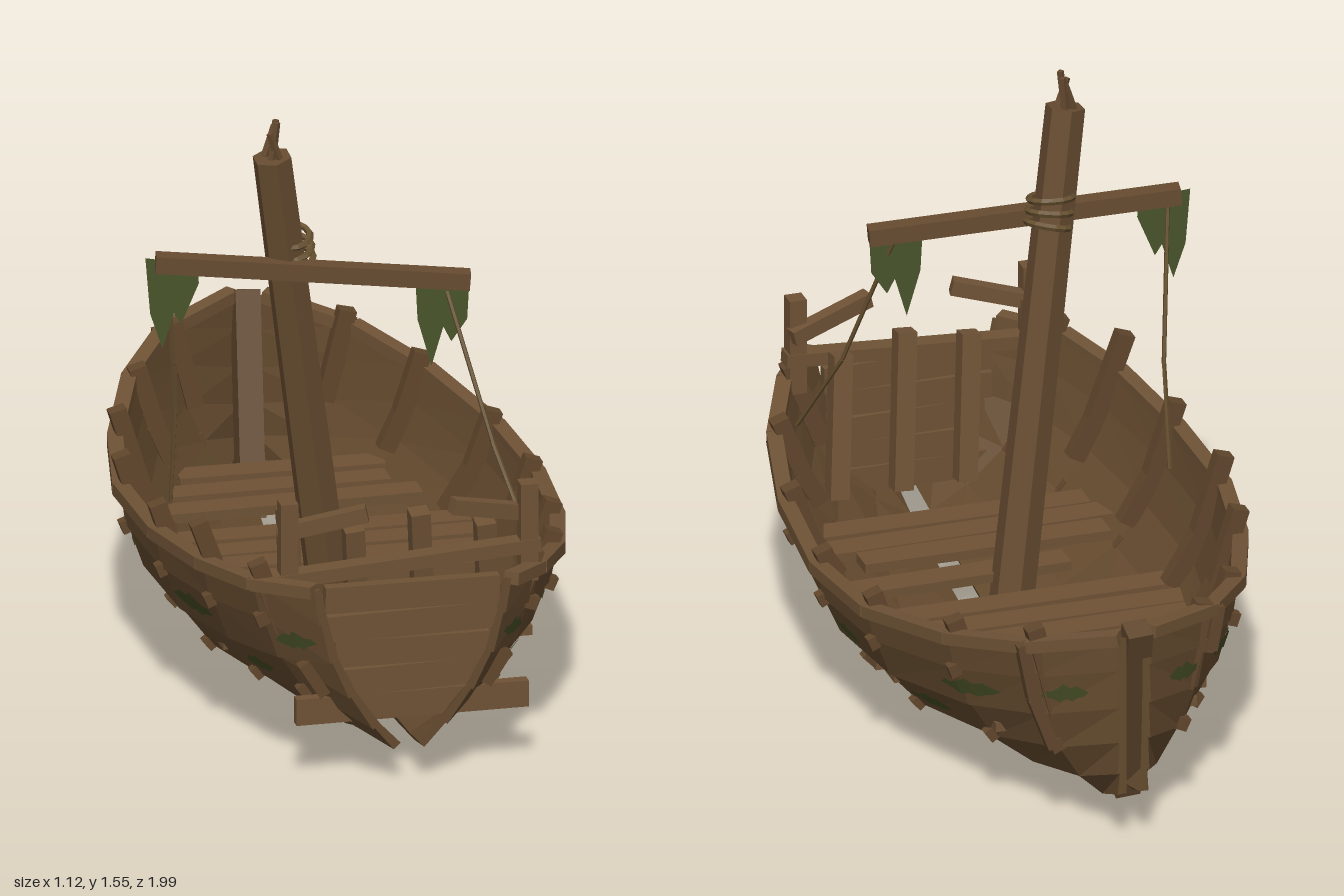
import * as THREE from 'three';

const V = (x, y, z) => new THREE.Vector3(x, y, z);
const mat = (name, color, side = THREE.FrontSide) => {
  const m = new THREE.MeshStandardMaterial({ color, side, flatShading: true });
  m.name = name;
  return m;
};

// Hull stations: z, left half-breadth, right half-breadth, left gunwale y, right gunwale y, keel y
const STATIONS = [
  [0.98, 0.27, 0.24, 0.54, 0.53, 0.10], [0.86, 0.40, 0.34, 0.53, 0.51, 0.075],
  [0.64, 0.48, 0.44, 0.51, 0.47, 0.045], [0.34, 0.53, 0.51, 0.485, 0.43, 0.015],
  [0, 0.54, 0.54, 0.475, 0.415, 0.005], [-0.31, 0.48, 0.51, 0.485, 0.43, 0.015],
  [-0.62, 0.37, 0.40, 0.52, 0.48, 0.045], [-0.83, 0.23, 0.26, 0.56, 0.53, 0.09],
  [-0.965, 0.02, 0.06, 0.59, 0.58, 0.145],
];
const XF_MID = [0, 0.4, 0.7, 0.87, 0.96, 1], XF_END = [0, 0.25, 0.54, 0.77, 0.91, 1];
const YF = [0, 0.13, 0.33, 0.55, 0.79, 1];
const lerp = THREE.MathUtils.lerp;

// Point on one hull side (side +1 or -1) at length z and girth t (0 keel, 1 gunwale), pushed out by off
function hullPoint(side, z, t, off = 0) {
  let i = 0;
  while (i < STATIONS.length - 2 && z < STATIONS[i + 1][0]) i++;
  const a = STATIONS[i], b = STATIONS[i + 1], f = (a[0] - z) / (a[0] - b[0]);
  const s = a.map((v, k) => lerp(v, b[k], f));
  const end = Math.min(1, z * z);
  const keelX = -0.025 * z + side * 0.035;
  const gunX = side < 0 ? -s[1] : s[2];
  const gunY = side < 0 ? s[3] : s[4];
  const at = (k) => [
    lerp(keelX, gunX, lerp(XF_MID[k], XF_END[k], end)), lerp(s[5], gunY, YF[k]),
  ];
  const k = Math.max(0, Math.min(4, Math.floor(t * 5 - 1e-6)));
  const p = at(k), q = at(k + 1), u = t * 5 - k;
  const dx = q[0] - p[0], dy = q[1] - p[1], len = Math.hypot(dx, dy) || 1;
  return V(p[0] + dx * u + side * dy / len * off, p[1] + dy * u - side * dx / len * off, z);
}

// Closed solid through rings of equal point count, wound outward by its signed volume
function loft(rings) {
  const tris = [], n = rings[0].length, last = rings.length - 1;
  for (let i = 0; i < last; i++) for (let j = 0; j < n; j++) {
    const a = rings[i][j], b = rings[i][(j + 1) % n], c = rings[i + 1][(j + 1) % n], d = rings[i + 1][j];
    tris.push([a, b, c], [a, c, d]);
  }
  for (let j = 1; j < n - 1; j++) {
    tris.push([rings[0][0], rings[0][j + 1], rings[0][j]]);
    tris.push([rings[last][0], rings[last][j], rings[last][j + 1]]);
  }
  const vol = tris.reduce((v, [a, b, c]) => v + a.dot(b.clone().cross(c)), 0);
  const pts = tris.flatMap((t) => (vol < 0 ? [t[0], t[2], t[1]] : t));
  const g = new THREE.BufferGeometry().setFromPoints(pts);
  g.computeVertexNormals();
  return g;
}

export function createModel() {
  const root = new THREE.Group();
  root.name = 'wreckedBoat';
  const hullWood = mat('hull wood', 0x644a2e), plankWood = mat('plank wood', 0x6e5235);
  const darkWood = mat('frame wood', 0x60462c), mastWood = mat('mast wood', 0x664b30);
  const ropeMat = mat('rope', 0x66502f);
  const ragMat = mat('rag cloth', 0x48532a, THREE.DoubleSide);
  const mossMat = mat('moss', 0x434b24, THREE.DoubleSide);

  const add = (name, geo, m) => {
    const mesh = new THREE.Mesh(geo, m);
    mesh.name = name;
    root.add(mesh);
    return mesh;
  };
  // Squared timber from a to b; w is across, h is the upright thickness
  const beam = (name, a, b, w, h, m, up = V(0, 1, 0)) => {
    const d = b.clone().sub(a), z = d.clone().normalize();
    const x = up.clone().cross(z).normalize(), y = z.clone().cross(x);
    const mesh = add(name, new THREE.BoxGeometry(w, h, d.length()), m);
    mesh.quaternion.setFromRotationMatrix(new THREE.Matrix4().makeBasis(x, y, z));
    mesh.position.copy(a).add(b).multiplyScalar(0.5);
  };
  // Round pole from a to b
  const pole = (name, a, b, r0, r1, sides, m) => {
    const d = b.clone().sub(a);
    const mesh = add(name, new THREE.CylinderGeometry(r1, r0, d.length(), sides), m);
    mesh.quaternion.setFromUnitVectors(V(0, 1, 0), d.normalize());
    mesh.position.copy(a).add(b).multiplyScalar(0.5);
  };
  const FORE = V(0, 0, 1);

  for (const side of [-1, 1]) {
    const label = side > 0 ? 'left' : 'right';
    // Hull strakes, each overlapping the one below
    for (let j = 0; j < 5; j++) {
      const t0 = j / 5 + 1e-5, t1 = (j + 1) / 5;
      add(label + 'Strake', loft(STATIONS.map(([z]) => [
        hullPoint(side, z, t0, 0.006), hullPoint(side, z, t1, 0),
        hullPoint(side, z, t1, -0.018), hullPoint(side, z, t0, -0.018),
      ])), hullWood);
    }
    // Gunwale rail
    for (let i = 0; i < STATIONS.length - 1; i++) {
      const a = hullPoint(side, STATIONS[i][0], 1), b = hullPoint(side, STATIONS[i + 1][0], 1);
      beam(label + 'GunwaleRail', a, b, 0.04, 0.032, plankWood);
    }
    // Ribs with raised heads, and the peg ends outside
    STATIONS.slice(1, -1).forEach(([z], i) => {
      const low = hullPoint(side, z, 0.48 + 0.15 * z * z, -0.035), mid = hullPoint(side, z, 0.74, -0.035);
      const top = hullPoint(side, z, 1, -0.028);
      const rise = side < 0 ? [0.05, 0.11, 0.075, 0.09, 0.08, 0.03, 0.02][i] : 0.045;
      const head = top.clone().add(top.clone().sub(mid).normalize().multiplyScalar(rise));
      beam(label + 'Rib', low, mid, 0.045, 0.04, darkWood, FORE);
      beam(label + 'RibHead', mid, head, 0.045, 0.04, darkWood, FORE);
      for (const t of [0.42, 0.8]) {
        beam(label + 'Peg', hullPoint(side, z, t, -0.02), hullPoint(side, z, t, 0.02), 0.028, 0.035, darkWood);
      }
    });
    // Outer braces at bow and stern, following the planking
    const braceTs = side > 0 ? [0.42, 0.7, 1.02] : [0.78, 1.02];
    for (let i = 0; i < braceTs.length - 1; i++) {
      beam(label + 'BowBrace', hullPoint(side, -0.83, braceTs[i], 0.014),
        hullPoint(side, -0.83, braceTs[i + 1], 0.014), 0.03, 0.035, darkWood, FORE);
    }
    beam(label + 'SternBrace', hullPoint(side, 0.92, 0.42, 0.012), hullPoint(side, 0.92, 0.6, 0.012),
      0.03, 0.035, darkWood, FORE);

    // Moss patches: z centre, girth, length
    const patches = [[0.49, 0.7, 0.25], [-0.1, 0.68, 0.15], [-0.42, 0.5, 0.17], [-0.64, 0.7, 0.19],
      [0, 0.3, 0.2], [0.92, 0.7, 0.09], [-0.88, 0.7, 0.08], [0.72, 0.5, 0.12]];
    const top = [0, 0.02, 0.04, 0.03, 0.055, 0.035, 0.02, 0.025, 0];
    const low = [0, 0.02, 0.025, 0.04, 0.025, 0.04, 0.02, 0.01, 0];
    for (const [zc, t, len] of patches) {
      const p = (k, s) => hullPoint(side, zc + (k / 8 - 0.5) * len, t + s, 0.009);
      const pos = [];
      for (let i = 0; i < 8; i++) {
        const a = p(i, -low[i]), b = p(i + 1, -low[i + 1]), c = p(i + 1, top[i + 1]), d = p(i, top[i]);
        pos.push(a, b, c, a, c, d);
      }
      const g = new THREE.BufferGeometry().setFromPoints(pos);
      g.computeVertexNormals();
      add(label + 'Moss', g, mossMat);
    }
  }

  // Stem post at the bow
  beam('stemPost', V(-0.02, 0.06, -0.765), V(0.012, 0.6, -0.965), 0.065, 0.06, darkWood, FORE);

  // Deck planks: z, right end, left end
  [[-0.64, -0.24, 0.29], [-0.54, -0.3, 0.28], [-0.44, -0.34, 0.34], [-0.25, -0.4, 0.43], [-0.155, -0.4, 0.45],
    [-0.06, -0.42, 0.4], [0.04, -0.42, 0.39], [0.23, -0.2, 0.38], [0.37, -0.35, 0.3], [0.45, -0.39, 0.38],
    [0.535, -0.35, 0.39]].forEach(([z, x0, x1], i) => {
    const y = 0.212 + 0.05 * z * z, skew = ((i * 7) % 5 - 2) * 0.003;
    beam('deckPlank', V(x0, y, z + skew), V(x1, y, z - skew), 0.078, 0.025, plankWood);
  });

  // Transom planks: y, half width, tilt
  [[0.19, 0.3, 0], [0.262, 0.18, 0.003], [0.335, 0.2, -0.002], [0.408, 0.22, 0.003], [0.482, 0.225, -0.002]]
    .forEach(([y, w, k]) => beam('transomPlank', V(-w, y - k, 0.9), V(w, y + k, 0.9), 0.03, 0.07, plankWood));

  // Stern rail, its posts and the broken handrail
  beam('sternRail', V(-0.36, 0.53, 0.86), V(0.34, 0.575, 0.86), 0.05, 0.035, plankWood);
  for (const s of [-1, 1]) {
    beam('sternPost', V(s * 0.31, 0.48, 0.86), V(s * 0.31, 0.74, 0.86), 0.045, 0.045, plankWood, FORE);
    beam('brokenHandrail', V(s * 0.33, 0.645, 0.83), V(s * 0.11, 0.7, 0.88), 0.035, 0.04, plankWood);
  }
  // Leaning stumps before the stern
  [[-0.28, 0.68], [-0.11, 0.62], [0.06, 0.65], [0.23, 0.61]].forEach(([x, y]) =>
    beam('sternStump', V(x + 0.02, 0.24, 0.71), V(x - 0.01, y, 0.77), 0.05, 0.05, plankWood, FORE));

  // Mast with splintered top and rope lashing
  const foot = V(-0.03, 0.13, 0.17), tip = V(-0.217, 1.45, 0.295);
  pole('mast', foot, tip, 0.058, 0.051, 6, mastWood);
  [[-0.005, 0.01, 0.015, 0.095], [0.02, 0.015, -0.03, 0.07], [-0.02, -0.015, 0.03, 0.08], [0.005, -0.02, 0.01, 0.09]]
    .forEach(([dx, dz, lean, h]) => pole('mastSplinter', tip.clone().add(V(dx, -0.02, dz)),
      tip.clone().add(V(dx + lean, h, dz * 1.1)), 0.012, 0.009, 4, mastWood));
  const axis = tip.clone().sub(foot).normalize();
  [1.15, 1.185, 1.22].forEach((y, i) => {
    const ring = add('mastLashing', new THREE.TorusGeometry(0.056, 0.009, 5, 14), ropeMat);
    ring.position.copy(foot).lerp(tip, (y - foot.y) / (tip.y - foot.y)).add(V(0.018, 0, -0.015));
    ring.quaternion.setFromUnitVectors(FORE, axis.clone().add(V(0.12 * (i - 1), 0, 0.15)).normalize());
  });

  // Yard
  beam('yard', V(-0.51, 1.178, 0.26), V(0.27, 1.115, 0.4), 0.045, 0.045, mastWood);

  // Torn rags hung from the yard ends
  const rag = (x, y, z, pts) => {
    const shape = new THREE.Shape(pts.map(([u, v]) => new THREE.Vector2(u, v)));
    const m = add('tornRag', new THREE.ShapeGeometry(shape), ragMat);
    m.position.set(x, y, z);
    m.rotation.y = -0.18;
  };
  rag(-0.535, 1.19, 0.255, [[0, 0], [0.012, -0.15], [0.043, -0.245], [0.072, -0.15], [0.09, -0.18],
    [0.135, -0.07], [0.13, -0.02]]);
  rag(0.135, 1.11, 0.376, [[0, 0], [0.005, -0.1], [0.04, -0.225], [0.07, -0.12], [0.09, -0.16],
    [0.13, -0.1], [0.135, -0.01]]);

  // Slack ropes from the yard to the gunwales
  [[V(-0.475, 1.15, 0.255), V(-0.44, 0.75, 0.18), V(-0.44, 0.48, 0.13)],
    [V(0.21, 1.1, 0.38), V(0.3, 0.72, 0.52), V(0.37, 0.48, 0.67)]].forEach((p) => {
    for (let i = 0; i < 2; i++) pole('rope', p[i], p[i + 1], 0.006, 0.006, 5, ropeMat);
  });

  return root;
}
